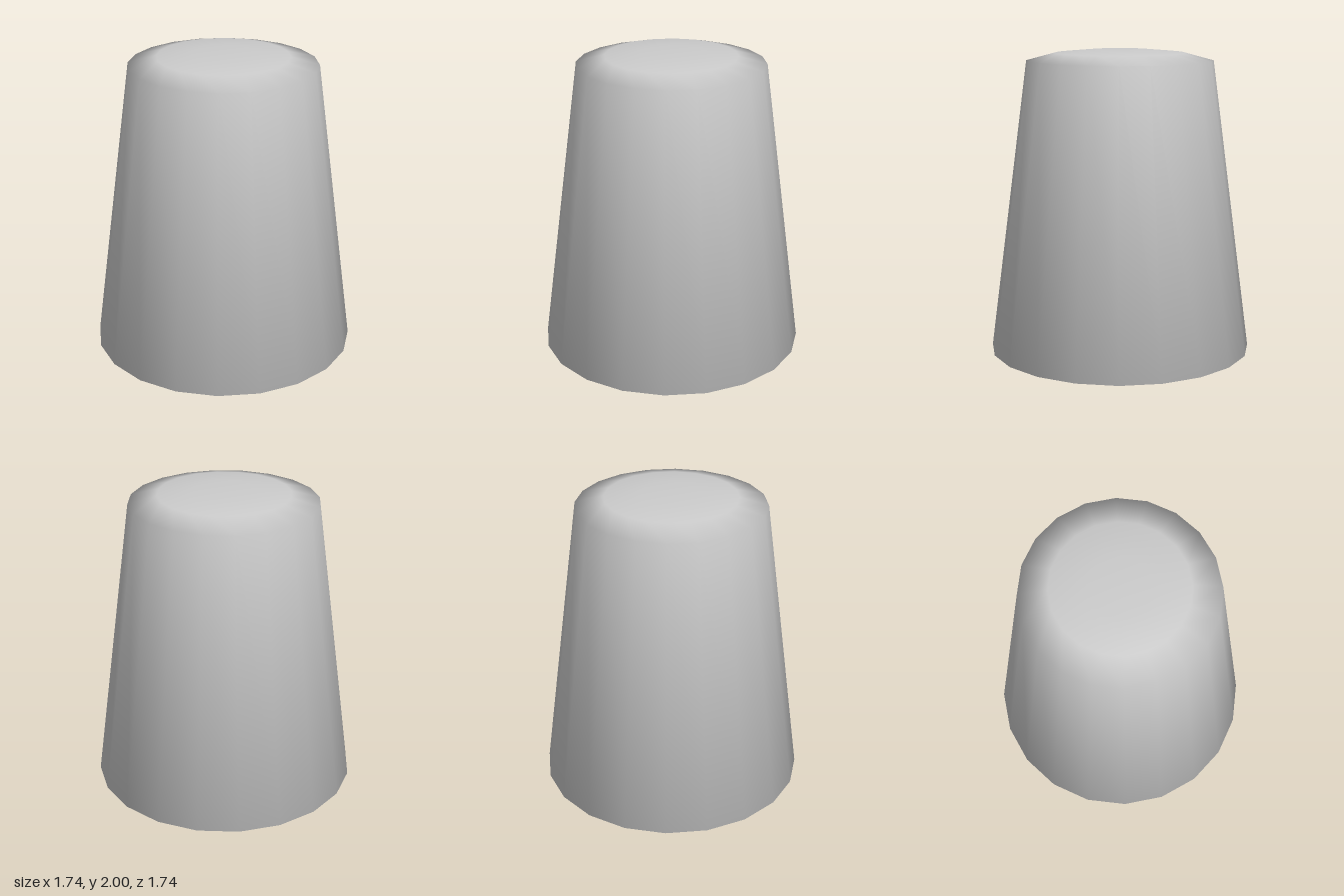
import * as THREE from 'three';

export function createModel() {
  const group = new THREE.Group();
  group.name = 'taperedCup';

  // Profile: flat base, tapered wall, shallow domed top
  const profile = [
    [0, 0],
    [0.87, 0],
    [0.615, 1.93],
    [0.43, 1.98],
    [0.2, 2],
    [0, 2],
  ].map(([r, y]) => new THREE.Vector2(r, y));

  // Twenty-sided body with smooth normals running over both rims
  const body = new THREE.Mesh(
    new THREE.LatheGeometry(profile, 20),
    new THREE.MeshStandardMaterial({ color: 0xcccccc })
  );
  body.name = 'body';
  group.add(body);

  return group;
}
